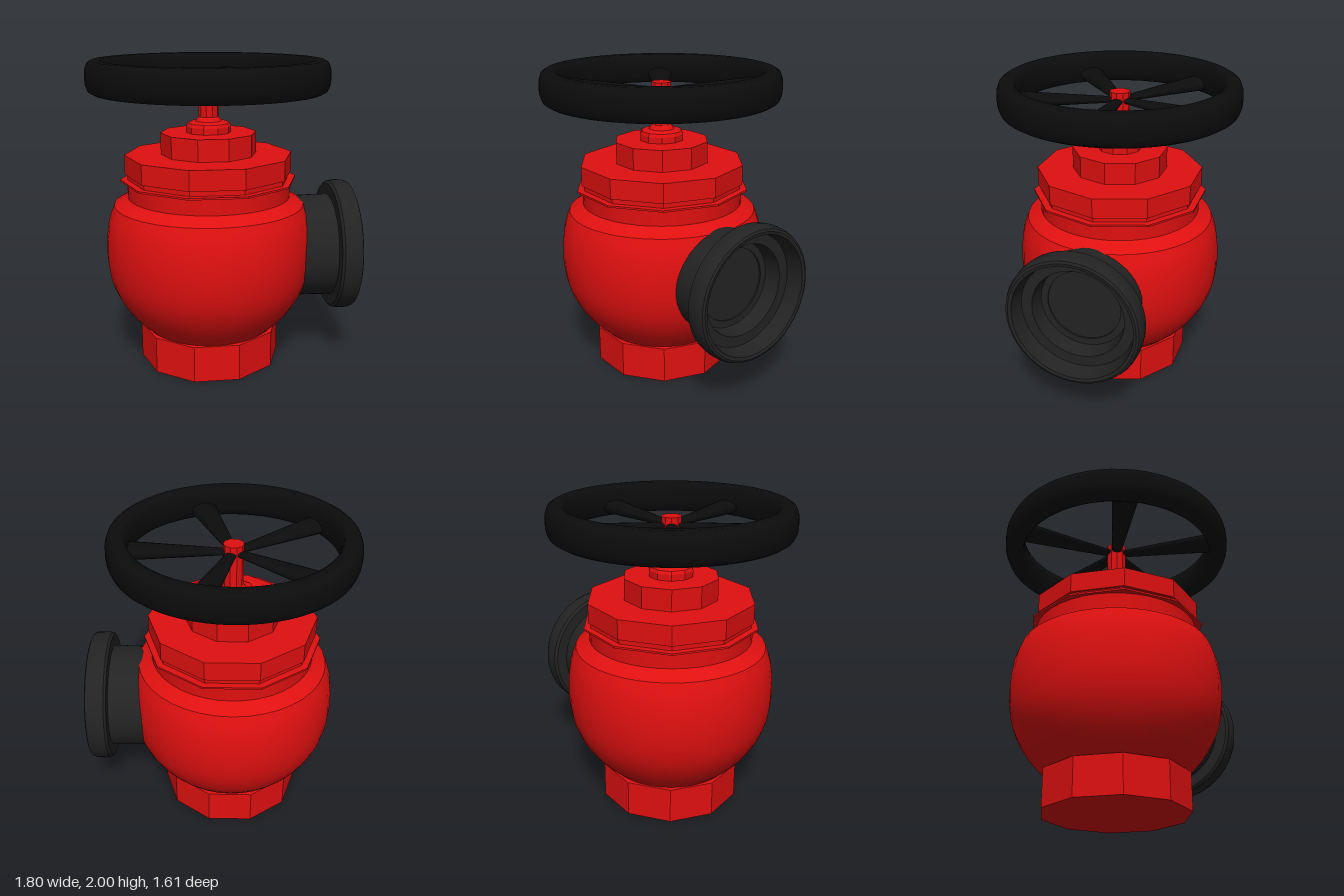
import * as THREE from 'three';
import { toCreasedNormals } from 'three/addons/utils/BufferGeometryUtils.js';

const red = new THREE.MeshStandardMaterial({ color: 0xe01010 });
const redFlat = new THREE.MeshStandardMaterial({ color: 0xe01010, flatShading: true });
const black = new THREE.MeshStandardMaterial({ color: 0x0c0c0c });
const rubber = new THREE.MeshStandardMaterial({ color: 0x232324 });

export function createModel() {
  const model = new THREE.Group();
  model.name = 'hydrantValve';

  // Everything is laid out with the outlet along +x, then turned 30 degrees
  const valve = new THREE.Group();
  valve.name = 'valve';
  valve.position.set(-0.135, 0, -0.038);
  valve.rotation.y = -Math.PI / 6;
  model.add(valve);

  const add = (name, geometry, material, parent = valve) => {
    const mesh = new THREE.Mesh(geometry, material);
    mesh.name = name;
    parent.add(mesh);
    return mesh;
  };
  // Turned part from [radius, height] pairs, with a corner facing +x
  const turned = (points, segments) => new THREE.LatheGeometry(
    points.map(([r, y]) => new THREE.Vector2(r, y)), segments, Math.PI / 2);
  const smooth = (points, segments, angle = 0.5) =>
    toCreasedNormals(turned(points, segments), angle);
  // Ten-sided solid between two heights
  const decagon = (name, radius, y0, y1) => {
    const g = new THREE.CylinderGeometry(radius, radius, y1 - y0, 10, 1, false, Math.PI / 2);
    add(name, g, redFlat).position.y = (y0 + y1) / 2;
  };

  // Bowl-shaped body with its round neck
  add('body', smooth([
    [0, 0.2], [0.4, 0.2], [0.44, 0.25], [0.495, 0.3], [0.55, 0.365], [0.59, 0.425],
    [0.62, 0.48], [0.645, 0.54], [0.663, 0.61], [0.674, 0.69], [0.678, 0.77],
    [0.674, 0.86], [0.66, 0.96], [0.642, 1.02], [0.62, 1.075], [0.53, 1.125], [0.53, 1.24],
  ], 40), red);

  // Stacked ten-sided nuts and collars
  decagon('baseNut', 0.467, 0, 0.24);
  decagon('washer', 0.575, 1.228, 1.24);
  decagon('lowerCollar', 0.53, 1.235, 1.28);
  decagon('collar', 0.545, 1.272, 1.4);
  decagon('bonnetNut', 0.31, 1.4, 1.54);

  // Gland and stem
  add('gland', turned([
    [0.145, 1.53], [0.145, 1.58], [0.135, 1.6], [0.115, 1.61], [0.085, 1.612], [0.065, 1.64],
  ], 10), redFlat);
  decagon('stem', 0.065, 1.6, 1.915);

  // Handwheel: rounded rim and five tapered spokes
  const wheel = new THREE.Group();
  wheel.name = 'handwheel';
  valve.add(wheel);
  add('rim', smooth([
    [0.675, 1.8], [0.73, 1.8], [0.755, 1.815], [0.77, 1.855], [0.773, 1.9], [0.77, 1.945],
    [0.755, 1.985], [0.73, 2], [0.675, 2], [0.653, 1.985], [0.642, 1.945], [0.638, 1.9],
    [0.642, 1.855], [0.653, 1.815], [0.675, 1.8],
  ], 64, 1), black, wheel);
  const spoke = new THREE.CylinderGeometry(0.09, 0.032, 0.64, 16);
  spoke.rotateZ(-Math.PI / 2);
  spoke.translate(0.36, 0, 0);
  spoke.scale(1, 0.55, 1);
  for (let i = 0; i < 5; i++) {
    const arm = add('spoke', spoke, black, wheel);
    arm.position.y = 1.86;
    arm.rotation.y = i * Math.PI * 2 / 5;
  }

  // Side outlet: neck, flared rim and stepped recess
  const outlet = add('outlet', smooth([
    [0.335, 0.45], [0.342, 0.75], [0.342, 0.805], [0.415, 0.805], [0.432, 0.82],
    [0.438, 0.86], [0.436, 0.91], [0.425, 0.938], [0.41, 0.945], [0.39, 0.94],
    [0.37, 0.83], [0.3, 0.83], [0.285, 0.72], [0.24, 0.72], [0.24, 0.71], [0, 0.71],
  ], 48, 0.6), rubber);
  outlet.rotation.z = -Math.PI / 2;
  outlet.position.y = 0.752;

  return model;
}
